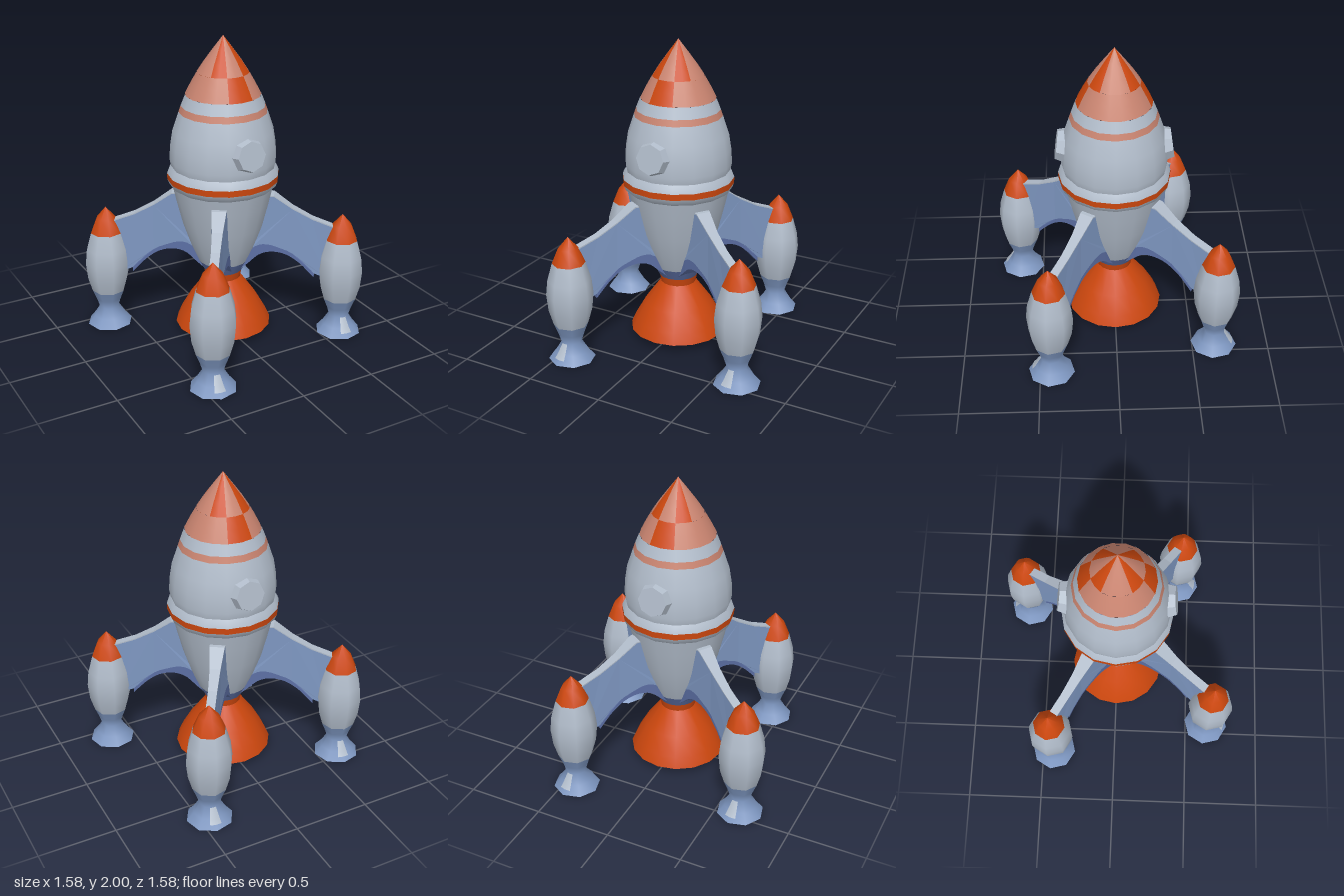
import * as THREE from 'three';

const mat = (name, color, side = THREE.FrontSide) => {
  const m = new THREE.MeshStandardMaterial({ color, side });
  m.name = name;
  return m;
};
const rad = THREE.MathUtils.degToRad;
const vec = (pts) => pts.map(([x, y]) => new THREE.Vector2(x, y));

export function createModel() {
  const grey = mat('hull grey', 0xb2bdcb);
  const orange = mat('orange', 0xcc470e, THREE.DoubleSide);
  const salmon = mat('faded orange', 0xc98470);
  const blue = mat('blue', 0x7e97c1, THREE.DoubleSide);
  const darkBlue = mat('dark blue', 0x5c6fa4);

  const model = new THREE.Group();
  model.name = 'rocket';

  const add = (parent, name, geometry, material) => {
    const mesh = new THREE.Mesh(geometry, material);
    mesh.name = name;
    parent.add(mesh);
    return mesh;
  };
  // Turned part, profile as [radius, height] from bottom to top, angles in degrees from +z
  const turn = (parent, name, pts, material, sides = 16, from = 0, sweep = 360) =>
    add(parent, name, new THREE.LatheGeometry(vec(pts), sides, rad(from), rad(sweep)), material);

  // Hull, from the engine bell up to the nose
  turn(model, 'engineBell', [[0.315, 0.05], [0.285, 0.12], [0.22, 0.235], [0.115, 0.38]], orange);
  turn(model, 'engineNeck', [[0.115, 0.38], [0.125, 0.43]], orange);
  turn(model, 'hullBase', [[0.125, 0.43], [0.165, 0.505]], darkBlue);
  turn(model, 'lowerHull', [[0.165, 0.505], [0.21, 0.61], [0.26, 0.76], [0.3, 0.92], [0.325, 1.03]], grey);
  turn(model, 'rimLower', [[0.325, 1.03], [0.345, 1.045], [0.357, 1.075]], grey);
  turn(model, 'rimStripe', [[0.357, 1.075], [0.358, 1.115]], orange);
  turn(model, 'rimUpper', [[0.358, 1.115], [0.348, 1.14], [0.332, 1.165]], grey);
  turn(model, 'upperHull', [[0.332, 1.165], [0.341, 1.21], [0.336, 1.3], [0.32, 1.4], [0.28, 1.52]], grey);
  turn(model, 'hullStripe', [[0.28, 1.52], [0.266, 1.56]], salmon);
  turn(model, 'noseCollar', [[0.266, 1.56], [0.238, 1.63]], grey);

  // Checkered nose: lower ring and tip, each split into sectors mirrored front to back
  const noseRing = [[0.238, 1.63], [0.2, 1.705], [0.163, 1.77]];
  const noseTip = [[0.163, 1.77], [0.118, 1.84], [0.06, 1.92], [0, 2]];
  for (const turnBy of [0, 180]) {
    turn(model, 'noseCheck', noseRing, orange, 2, turnBy - 20, 40);
    turn(model, 'noseRing', noseRing, salmon, 7, turnBy + 20, 140);
    turn(model, 'noseTipPale', noseTip, salmon, 2, turnBy - 20, 40);
    turn(model, 'noseTipCheck', noseTip, orange, 2, turnBy + 20, 36);
    turn(model, 'noseTipSide', noseTip, salmon, 3, turnBy + 56, 68);
    turn(model, 'noseTipCheck', noseTip, orange, 2, turnBy + 124, 36);
  }

  // Portholes at front and back, tilted with the hull
  for (const s of [1, -1]) {
    const g = new THREE.CylinderGeometry(0.095, 0.14, 0.16, 8).toNonIndexed();
    g.rotateX(Math.PI / 2);
    g.computeVertexNormals();
    g.rotateX(rad(-8));
    g.translate(0, 1.315, 0.285);
    if (s < 0) g.rotateY(Math.PI);
    add(model, s > 0 ? 'frontPorthole' : 'backPorthole', g, grey);
  }

  // Fin edges in [distance from axis, height]
  const top = [[0.26, 0.965], [0.33, 0.962], [0.45, 0.875], [0.58, 0.803], [0.715, 0.752]];
  const arch = new THREE.SplineCurve(vec([
    [0.1, 0.44], [0.17, 0.5], [0.24, 0.56], [0.32, 0.578], [0.41, 0.557], [0.5, 0.495], [0.6, 0.39],
  ])).getPoints(16);
  const raised = arch.map((p) => new THREE.Vector2(p.x, p.y + 0.03 + 0.3 * Math.max(0, 0.37 - p.x)));
  // Plate between a lower and an upper edge, thicker toward the hull
  const finPlate = (lower, upper, extra) => {
    const shape = new THREE.Shape([...lower, ...[...upper].reverse()]);
    const g = new THREE.ExtrudeGeometry(shape, { depth: 2, bevelEnabled: false });
    g.translate(0, 0, -1);
    const p = g.attributes.position;
    for (let i = 0; i < p.count; i++) {
      const root = THREE.MathUtils.clamp((0.5 - p.getX(i)) / 0.35, 0, 1);
      p.setZ(i, p.getZ(i) * (0.027 + 0.038 * root + extra));
    }
    g.computeVertexNormals();
    return g;
  };
  const topEdge = vec(top);
  const capEdge = vec(top.map(([x, y]) => [x, y + 0.008]));
  const finSide = finPlate([...raised, new THREE.Vector2(0.7, 0.38)], topEdge, 0);
  const finArch = finPlate(arch, raised, 0);
  const finCap = finPlate(topEdge, capEdge, 0.001);

  // Four fins, each carrying a pod with a flared foot
  for (let k = 0; k < 4; k++) {
    const angle = rad(33.5 + 90 * k);
    const fin = new THREE.Group();
    fin.name = 'fin';
    fin.rotation.y = -angle;
    add(fin, 'finSide', finSide, blue);
    add(fin, 'finArch', finArch, darkBlue);
    add(fin, 'finTopEdge', finCap, grey);

    const pod = new THREE.Group();
    pod.name = 'pod';
    pod.position.set(0.772 * Math.cos(angle), 0, 0.772 * Math.sin(angle));
    pod.rotation.y = rad(-8);
    turn(pod, 'podFoot', [[0.15, 0], [0.105, 0.055], [0.066, 0.12], [0.085, 0.18], [0.111, 0.245]], blue, 8);
    turn(pod, 'podBody', [[0.111, 0.245], [0.138, 0.34], [0.149, 0.45], [0.138, 0.55], [0.105, 0.665]], grey, 8);
    turn(pod, 'podCap', [[0.105, 0.665], [0.064, 0.765], [0, 0.84]], orange, 8);
    // Pale patch on the outer side of the foot
    const facing = Math.sin(angle) > 0 ? 0 : 180;
    turn(pod, 'footPatch', [[0.127, 0.03], [0.106, 0.057], [0.068, 0.12]], grey, 2, facing - 17, 34);
    model.add(fin, pod);
  }
  return model;
}
